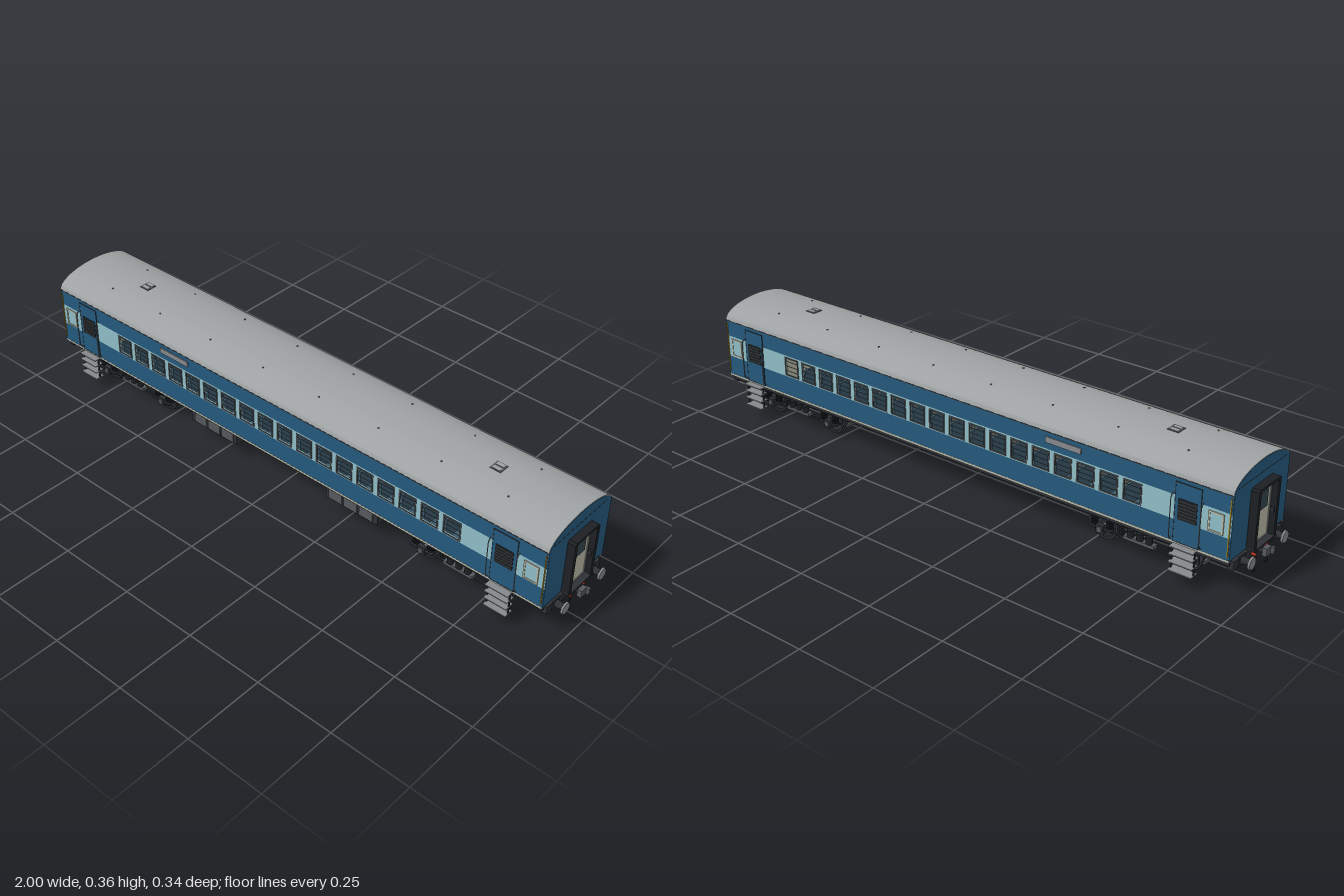
import * as THREE from 'three';
import { toCreasedNormals } from 'three/addons/utils/BufferGeometryUtils.js';

const mat = (color, side = THREE.FrontSide) => new THREE.MeshStandardMaterial({ color, side });
const M = {
  blue: mat(0x25597d), pale: mat(0x8fbcc6), roof: mat(0x9ea2a2), dark: mat(0x2d3135), black: mat(0x1d2023),
  steel: mat(0x85898c), grey: mat(0x55595b), cream: mat(0xb9b9a8), glass: mat(0x33474f),
  floor: mat(0x4a4a42), red: mat(0xb03020), yellow: mat(0xb08a20), seat: mat(0x3d5a6b),
};

function add(parent, name, geo, material, x = 0, y = 0, z = 0) {
  const mesh = new THREE.Mesh(geo, material);
  mesh.name = name;
  mesh.position.set(x, y, z);
  parent.add(mesh);
  return mesh;
}
const box = (p, name, m, x, y, z, w, h, d) => add(p, name, new THREE.BoxGeometry(w, h, d), m, x, y, z);

// Cylinder lying along the given axis
function rod(p, name, m, axis, x, y, z, r, len, r2 = r, seg = 16) {
  const g = new THREE.CylinderGeometry(r2, r, len, seg);
  if (axis === 'x') g.rotateZ(-Math.PI / 2);
  if (axis === 'z') g.rotateX(Math.PI / 2);
  return add(p, name, g, m, x, y, z);
}
function tube(p, name, m, pts, r, seg = 16) {
  const curve = new THREE.CatmullRomCurve3(pts.map(a => new THREE.Vector3(...a)), false, 'catmullrom', 0.2);
  return add(p, name, new THREE.TubeGeometry(curve, seg, r, 6), m);
}

function rect(path, x0, y0, x1, y1) {
  path.moveTo(x0, y0); path.lineTo(x1, y0); path.lineTo(x1, y1); path.lineTo(x0, y1); path.closePath();
  return path;
}
const extrude = (shape, depth) => new THREE.ExtrudeGeometry(shape, { depth, bevelEnabled: false, curveSegments: 32 });
function frameGeo(w, h, t, depth) {
  const s = rect(new THREE.Shape(), -w / 2, -h / 2, w / 2, h / 2);
  s.holes.push(rect(new THREE.Path(), -w / 2 + t, -h / 2 + t, w / 2 - t, h / 2 - t));
  return extrude(s, depth);
}

const WINDOWS = Array.from({ length: 18 }, (_, i) => (i - 8.5) * 0.0763);
const WIN_Y = 0.219;

// One long side, outer face at z = 0.145
function makeSide() {
  const side = new THREE.Group();
  side.name = 'sideWall';
  box(side, 'lowerPanel', M.blue, 0, 0.152, 0.141, 1.9, 0.064, 0.008);
  box(side, 'upperPanel', M.blue, 0, 0.283, 0.141, 1.9, 0.054, 0.008);
  const band = rect(new THREE.Shape(), -0.95, 0.184, 0.95, 0.256);
  for (const x of WINDOWS) band.holes.push(rect(new THREE.Path(), x - 0.029, 0.188, x + 0.029, 0.25));
  add(side, 'windowBand', extrude(band, 0.008), M.pale, 0, 0, 0.137);
  box(side, 'soleStrip', M.cream, 0, 0.1165, 0.141, 1.9, 0.007, 0.009);
  box(side, 'gutter', M.dark, 0, 0.309, 0.1445, 1.9, 0.003, 0.004);

  const frame = frameGeo(0.06, 0.064, 0.004, 0.003);
  for (const x of WINDOWS) {
    add(side, 'windowFrame', frame, M.grey, x, WIN_Y, 0.144);
    for (const y of [0.203, 0.219, 0.235]) box(side, 'windowBar', M.grey, x, y, 0.142, 0.054, 0.0015, 0.0015);
  }

  for (const s of [-1, 1]) {
    // Entrance door with louvred window and grab rails
    const x = 0.82 * s;
    box(side, 'entranceDoor', M.blue, x, 0.208, 0.1445, 0.076, 0.174, 0.004);
    add(side, 'doorTrim', frameGeo(0.08, 0.178, 0.002, 0.003), M.dark, x, 0.208, 0.144);
    box(side, 'doorWindow', M.black, x, 0.22, 0.1455, 0.058, 0.062, 0.004);
    for (let i = 0; i < 6; i++) box(side, 'doorLouvre', M.grey, x, 0.196 + i * 0.0096, 0.1475, 0.054, 0.002, 0.002);
    for (const d of [-0.046, 0.046]) {
      tube(side, 'grabRail', M.steel, [[x + d, 0.125, 0.145], [x + d, 0.138, 0.156], [x + d, 0.252, 0.156], [x + d, 0.261, 0.145]], 0.0015);
    }
    // Washroom window
    box(side, 'washroomGlass', M.pale, 0.905 * s, 0.218, 0.145, 0.036, 0.052, 0.003);
    add(side, 'washroomFrame', frameGeo(0.046, 0.06, 0.005, 0.004), M.cream, 0.905 * s, 0.218, 0.144);
    box(side, 'cornerRail', M.yellow, 0.945 * s, 0.215, 0.146, 0.003, 0.17, 0.003);
    // Boarding steps
    for (const y of [0.041, 0.066, 0.09, 0.113]) box(side, 'stepTread', M.steel, x, y, 0.152, 0.074, 0.003, 0.032);
    for (const d of [-0.035, 0.035]) box(side, 'stepHanger', M.dark, x + d, 0.077, 0.152, 0.003, 0.075, 0.005);
  }
  return side;
}

// Roof arc from side to side; the inner arc closes it into a shell
function roofArc(shape, a, b, y, reverse) {
  shape.absellipse(0, y, a, b, reverse ? Math.PI : 0, reverse ? 0 : Math.PI, reverse, 0);
}
function makeRoof(group) {
  const shell = new THREE.Shape();
  shell.moveTo(0.146, 0.309);
  roofArc(shell, 0.146, 0.053, 0.309, false);
  shell.lineTo(-0.141, 0.309);
  roofArc(shell, 0.141, 0.048, 0.309, true);
  shell.closePath();
  const g = extrude(shell, 1.9);
  g.rotateY(Math.PI / 2);
  add(group, 'roof', toCreasedNormals(g, 0.6), M.roof, -0.95, 0, 0);
  for (const s of [-1, 1]) {
    box(group, 'roofHatch', M.grey, 0.685 * s, 0.362, 0, 0.036, 0.003, 0.036);
    for (const d of [-0.009, 0.009]) box(group, 'hatchLid', M.roof, 0.685 * s, 0.3635, d, 0.026, 0.002, 0.012);
  }
  for (let i = 0; i < 8; i++) {
    for (const s of [-1, 1]) rod(group, 'roofVent', M.grey, 'y', -0.77 + i * 0.22, 0.353, s * 0.075, 0.003, 0.006, 0.003, 8);
  }
}

// One end of the coach, facing +x
function makeEnd() {
  const end = new THREE.Group();
  end.name = 'coachEnd';
  const wall = new THREE.Shape();
  wall.moveTo(-0.144, 0.118);
  wall.lineTo(0.144, 0.118);
  wall.lineTo(0.144, 0.308);
  roofArc(wall, 0.144, 0.052, 0.308, false);
  wall.closePath();
  add(end, 'endWall', extrude(wall, 0.008).rotateY(Math.PI / 2), M.blue, 0.943, 0, 0);
  box(end, 'endSeam', M.dark, 0.951, 0.322, 0, 0.001, 0.0015, 0.25);

  // Gangway surround and door
  const surround = new THREE.Shape();
  surround.moveTo(-0.058, 0.12);
  for (const [z, y] of [[-0.058, 0.29], [-0.052, 0.296], [0.052, 0.296], [0.058, 0.29], [0.058, 0.12], [0.046, 0.12], [0.046, 0.288], [-0.046, 0.288], [-0.046, 0.12]]) surround.lineTo(z, y);
  surround.closePath();
  add(end, 'gangwaySurround', extrude(surround, 0.026).rotateY(Math.PI / 2), M.black, 0.949, 0, 0);
  box(end, 'gangwayDoor', M.cream, 0.953, 0.203, 0, 0.006, 0.166, 0.086);
  add(end, 'doorEdge', frameGeo(0.086, 0.166, 0.004, 0.002).rotateY(Math.PI / 2), M.steel, 0.956, 0.203, 0);
  box(end, 'doorGlass', M.glass, 0.957, 0.239, 0, 0.003, 0.05, 0.05);
  for (const s of [-1, 1]) box(end, 'doorHandle', M.dark, 0.965, 0.197, s * 0.043, 0.01, 0.014, 0.005);
  box(end, 'gangwaySill', M.dark, 0.962, 0.118, 0, 0.03, 0.005, 0.116);

  // Headstock, buffers, coupling and hoses
  box(end, 'headstock', M.dark, 0.947, 0.098, 0, 0.018, 0.026, 0.254);
  for (const s of [-1, 1]) {
    const z = 0.088 * s;
    box(end, 'bufferBase', M.dark, 0.957, 0.101, z, 0.004, 0.03, 0.03);
    rod(end, 'bufferSleeve', M.dark, 'x', 0.968, 0.101, z, 0.012, 0.024, 0.009);
    rod(end, 'bufferShank', M.steel, 'x', 0.98, 0.101, z, 0.007, 0.012);
    rod(end, 'bufferHead', M.steel, 'x', 0.987, 0.101, z, 0.019, 0.006, 0.017, 24);
    rod(end, 'hoseTap', M.red, 'x', 0.963, 0.094, s * 0.033, 0.004, 0.014);
    tube(end, 'brakeHose', M.black, [[0.958, 0.094, s * 0.033], [0.968, 0.088, s * 0.033], [0.966, 0.06, s * 0.033], [0.97, 0.045, s * 0.032], [0.961, 0.042, s * 0.032]], 0.0025);
  }
  box(end, 'couplerShank', M.dark, 0.966, 0.1, 0, 0.03, 0.016, 0.016);
  box(end, 'couplerHead', M.grey, 0.984, 0.1, 0.004, 0.014, 0.024, 0.026);
  box(end, 'couplerJaw', M.grey, 0.994, 0.1, -0.009, 0.012, 0.02, 0.009);
  return end;
}

function wheelGeo() {
  const p = [[0, -0.006], [0.014, -0.006], [0.018, -0.003], [0.032, -0.003], [0.034, -0.007], [0.041, -0.007], [0.041, 0.004], [0.046, 0.005], [0.046, 0.008], [0.034, 0.008], [0.032, 0.003], [0.016, 0.003], [0.014, 0.007], [0, 0.007]];
  const g = new THREE.LatheGeometry(p.map(a => new THREE.Vector2(...a)), 28);
  return toCreasedNormals(g, 0.5).rotateX(Math.PI / 2);
}

// Two-axle bogie centred on its own origin
function makeBogie() {
  const bogie = new THREE.Group();
  bogie.name = 'bogie';
  const wheel = wheelGeo();
  for (const sx of [-1, 1]) {
    const x = 0.13 * sx;
    rod(bogie, 'axle', M.steel, 'z', x, 0.046, 0, 0.008, 0.23);
    for (const s of [-1, 1]) {
      const w = add(bogie, 'wheel', wheel, M.dark, x, 0.046, s * 0.08);
      if (s > 0) w.rotation.y = Math.PI;
      rod(bogie, 'brakeDisc', M.steel, 'z', x, 0.046, s * 0.035, 0.02, 0.012, 0.02, 20);
      box(bogie, 'axleBox', M.dark, x, 0.048, s * 0.11, 0.026, 0.026, 0.014);
      rod(bogie, 'axleCap', M.grey, 'z', x, 0.048, s * 0.118, 0.009, 0.006);
      for (const d of [-0.026, 0.026]) {
        box(bogie, 'springSeat', M.dark, x + d, 0.05, s * 0.105, 0.024, 0.005, 0.024);
        for (let i = 0; i < 5; i++) add(bogie, 'springCoil', new THREE.TorusGeometry(0.009, 0.0022, 6, 14).rotateX(Math.PI / 2), M.black, x + d, 0.056 + i * 0.0055, s * 0.103);
      }
      box(bogie, 'brakeBlock', M.black, x - sx * 0.05, 0.045, s * 0.08, 0.008, 0.026, 0.014);
    }
    box(bogie, 'endBeam', M.grey, 0.185 * sx, 0.046, 0, 0.008, 0.01, 0.17);
    box(bogie, 'transom', M.dark, 0.05 * sx, 0.076, 0, 0.016, 0.016, 0.19);
    for (const s of [-1, 1]) box(bogie, 'beamArm', M.dark, 0.18 * sx, 0.064, s * 0.085, 0.01, 0.034, 0.01);
  }
  for (const s of [-1, 1]) {
    box(bogie, 'sideFrame', M.dark, 0, 0.084, s * 0.1, 0.36, 0.011, 0.018);
    box(bogie, 'springPlank', M.grey, 0, 0.055, s * 0.11, 0.1, 0.01, 0.02);
    for (const x of [-0.03, 0, 0.03]) rod(bogie, 'bolsterSpring', M.black, 'y', x, 0.07, s * 0.112, 0.01, 0.022, 0.01, 12);
    box(bogie, 'tieBar', M.dark, 0, 0.045, s * 0.104, 0.22, 0.004, 0.005);
  }
  box(bogie, 'bolster', M.dark, 0, 0.084, 0, 0.05, 0.02, 0.21);
  rod(bogie, 'pivot', M.dark, 'y', 0, 0.09, 0, 0.024, 0.03);
  return bogie;
}

function makeUnderframe(group) {
  box(group, 'floor', M.floor, 0, 0.115, 0, 1.89, 0.006, 0.28);
  for (const s of [-1, 1]) {
    box(group, 'soleBar', M.dark, 0, 0.105, s * 0.127, 1.89, 0.018, 0.008);
    box(group, 'longitudinal', M.dark, 0, 0.107, s * 0.035, 1.89, 0.012, 0.005);
  }
  for (let i = 0; i < 17; i++) box(group, 'crossBearer', M.dark, -0.88 + i * 0.11, 0.106, 0, 0.006, 0.014, 0.25);
  for (const s of [-1, 1]) {
    // Battery boxes along the front edge, air tanks towards the back
    box(group, 'equipmentBox', M.dark, 0.28 * s, 0.077, 0.1, 0.196, 0.042, 0.05);
    for (let i = 0; i < 3; i++) box(group, 'boxCover', M.grey, s * (0.22 + i * 0.058), 0.077, 0.126, 0.05, 0.034, 0.004);
    const tank = add(group, 'airTank', new THREE.CapsuleGeometry(0.024, 0.1, 6, 20).rotateZ(Math.PI / 2), M.steel, 0.25 * s, 0.074, -0.052);
    for (const d of [-0.04, 0.04]) box(group, 'tankStrap', M.dark, tank.position.x + d, 0.09, -0.052, 0.006, 0.034, 0.04);
  }
  box(group, 'controlBox', M.dark, 0, 0.075, 0.06, 0.125, 0.036, 0.06);
  box(group, 'controlCover', M.grey, 0, 0.075, 0.091, 0.07, 0.02, 0.003);
  rod(group, 'brakeCylinder', M.dark, 'x', 0, 0.075, 0, 0.019, 0.1);
  rod(group, 'brakeRod', M.dark, 'x', 0, 0.083, -0.012, 0.003, 1.1, 0.003, 8);
}

function makeInterior(group) {
  box(group, 'cabinFloor', M.floor, 0, 0.122, 0, 1.87, 0.004, 0.27);
  for (const s of [-1, 1]) {
    box(group, 'partition', M.cream, 0.735 * s, 0.216, 0, 0.006, 0.184, 0.272);
    for (const x of WINDOWS) {
      box(group, 'seatCushion', M.seat, x, 0.158, s * 0.08, 0.04, 0.012, 0.09);
      box(group, 'seatBack', M.seat, x - 0.036, 0.178, s * 0.08, 0.009, 0.07, 0.09);
      box(group, 'seatBase', M.dark, x, 0.138, s * 0.08, 0.03, 0.03, 0.06);
    }
  }
}

export function createModel() {
  const coach = new THREE.Group();
  coach.name = 'railwayCoach';
  makeRoof(coach);
  makeUnderframe(coach);
  makeInterior(coach);
  for (const s of [0, 1]) {
    const side = makeSide(), end = makeEnd(), bogie = makeBogie();
    side.rotation.y = end.rotation.y = s * Math.PI;
    bogie.position.x = s ? -0.66 : 0.66;
    coach.add(side, end, bogie);
    box(coach, 'routeBoard', M.steel, -0.42, 0.285, s ? -0.146 : 0.146, 0.12, 0.018, 0.004);
  }
  return coach;
}
